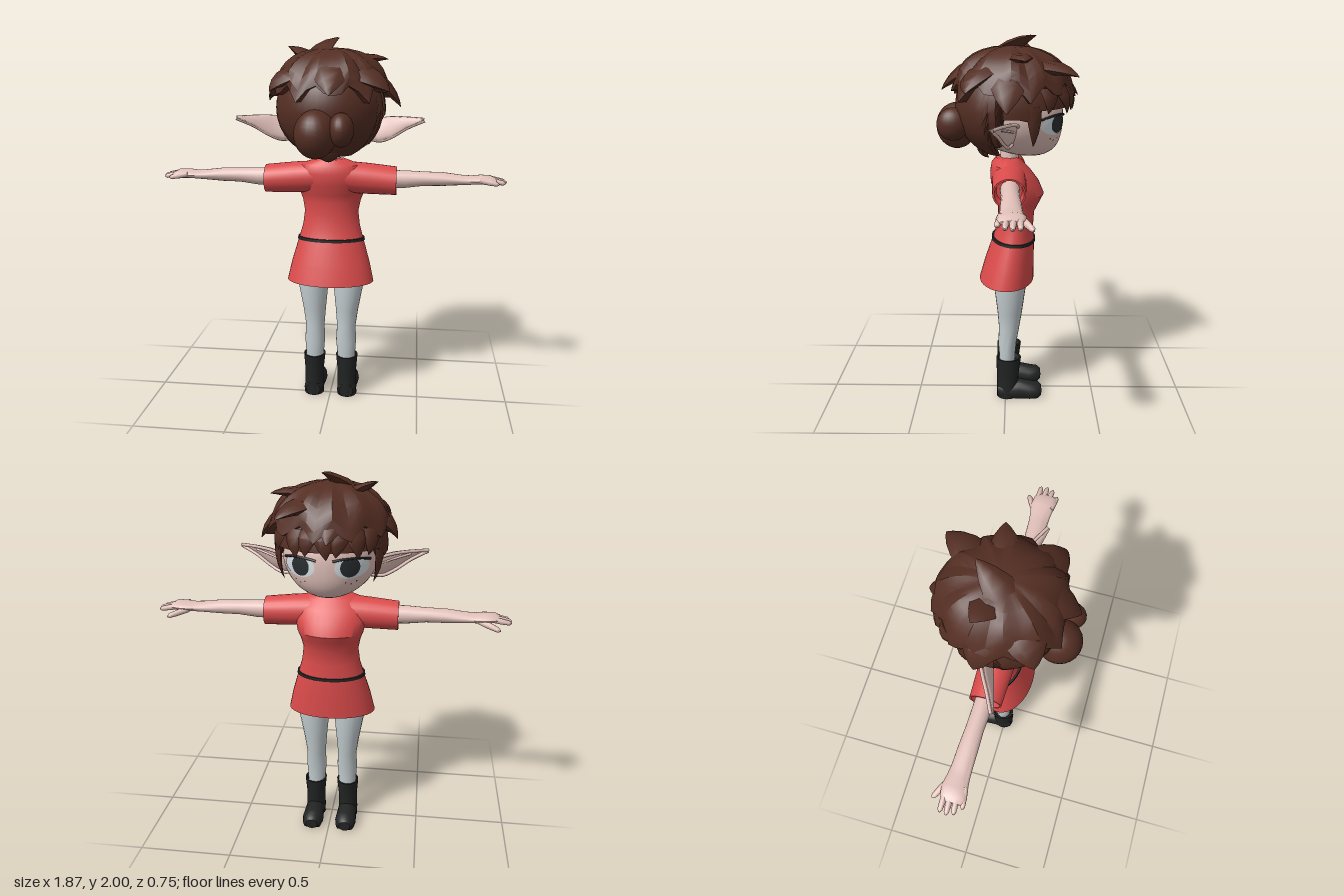
import * as THREE from 'three';
import { toCreasedNormals } from 'three/addons/utils/BufferGeometryUtils.js';

const V = (x, y, z) => new THREE.Vector3(x, y, z);
const paint = (name, color, side = THREE.FrontSide) => {
  const m = new THREE.MeshStandardMaterial({ color, side });
  m.name = name;
  return m;
};

// Surface through closed rings of points, with optional end caps
function skin(rings, capStart = true, capEnd = true, crease = 0.7) {
  const n = rings[0].length, pts = rings.flat(), index = [];
  for (let r = 0; r < rings.length - 1; r++) for (let i = 0; i < n; i++) {
    const a = r * n + i, b = r * n + (i + 1) % n;
    index.push(a, a + n, b, b, a + n, b + n);
  }
  const cap = (ring, base, flip) => {
    const c = ring.reduce((s, p) => s.add(p), V(0, 0, 0)).divideScalar(n);
    const k = pts.push(c) - 1;
    for (let i = 0; i < n; i++) {
      const a = base + i, b = base + (i + 1) % n;
      index.push(k, flip ? a : b, flip ? b : a);
    }
  };
  if (capStart) cap(rings[0], 0, true);
  if (capEnd) cap(rings.at(-1), (rings.length - 1) * n, false);
  const g = new THREE.BufferGeometry().setFromPoints(pts);
  g.setIndex(index);
  return toCreasedNormals(g, crease);
}

// Elliptical loft; station = [x, y, z, radius along S, radius across S], T = axis
function loft(stations, S, T, n = 20, floor = -1) {
  S = S.clone().normalize();
  const N = S.clone().cross(T).normalize();
  return skin(stations.map(([x, y, z, rs, rn]) => Array.from({ length: n }, (_, i) => {
    const t = i / n * Math.PI * 2;
    const p = V(x, y, z).addScaledVector(S, rs * Math.cos(t)).addScaledVector(N, rn * Math.sin(t));
    p.y = Math.max(floor, p.y);
    return p;
  })));
}

// Face surface: depth of the front at a given x, y
const HEAD = { y: 1.6, rx: 0.25, ry: 0.215, rz: 0.27 };
const headSlice = y => {
  const s = THREE.MathUtils.clamp((y - HEAD.y) / HEAD.ry, -1, 1);
  return { k: Math.sqrt(1 - s * s), zc: -0.03 - 0.1 * Math.max(0, -s) ** 2 };
};
const faceZ = (x, y) => {
  const { k, zc } = headSlice(y);
  return zc - HEAD.rz * Math.sqrt(Math.max(0, k * k - (x / HEAD.rx) ** 2));
};

// Thin disc hugging the face, cut flat along a lid height
function faceDisc(cx, cy, rx, ry, lid, lift, n = 24, m = 5) {
  const rings = [];
  for (let j = m; j >= 0; j--) rings.push(Array.from({ length: n }, (_, i) => {
    const t = i / n * Math.PI * 2, f = j / m + 0.001;
    const x = cx - rx * f * Math.cos(t), y = Math.min(lid, cy + ry * f * Math.sin(t));
    return V(x, y, faceZ(x, y) - lift);
  }));
  return skin(rings, false, false);
}

export function createModel() {
  const model = new THREE.Group();
  const D = THREE.DoubleSide;
  const hair = paint('brown hair', 0x542e23, D), skinTone = paint('skin', 0xe2c1ba);
  const red = paint('red dress', 0xdb4b4b), grey = paint('grey stockings', 0xc3cccf);
  const black = paint('black leather', 0x222323), white = paint('eye white', 0xdbe3e7, D);
  const dark = paint('dark iris', 0x2a2e31, D);
  const X = V(1, 0, 0), Y = V(0, 1, 0), Z = V(0, 0, 1);
  const add = (name, geo, mat, parent = model) => {
    const m = new THREE.Mesh(geo, mat);
    m.name = name;
    parent.add(m);
    return m;
  };

  // Dress with hollow skirt, belt
  add('dress', loft([
    [0, 0.86, -0.03, 0.18, 0.11], [0, 0.7, -0.005, 0.23, 0.142], [0, 0.695, -0.005, 0.24, 0.15],
    [0, 0.8, -0.02, 0.216, 0.135], [0, 0.93, -0.043, 0.178, 0.113], [0, 1.0, -0.052, 0.158, 0.098],
    [0, 1.08, -0.057, 0.148, 0.098], [0, 1.14, -0.072, 0.16, 0.113], [0, 1.18, -0.078, 0.175, 0.127],
    [0, 1.24, -0.05, 0.19, 0.13], [0, 1.3, -0.026, 0.19, 0.109], [0, 1.345, -0.008, 0.16, 0.083],
    [0, 1.375, -0.005, 0.08, 0.058]], X, Y, 32), red);
  const belt = add('belt', loft([[0, -0.008, 0, 0.181, 0.116], [0, -0.008, 0, 0.187, 0.12],
    [0, 0.008, 0, 0.185, 0.119], [0, 0.008, 0, 0.17, 0.11]], X, Y, 32), black);
  belt.position.set(0, 0.928, -0.043);
  belt.rotation.x = -0.05;

  // Neck and head
  add('neck', new THREE.CylinderGeometry(0.045, 0.052, 0.1, 20).translate(0, 1.385, -0.02), skinTone);
  const headRings = [];
  for (let j = 0; j <= 24; j++) {
    const y = HEAD.y - HEAD.ry * Math.cos((0.01 + 0.98 * j / 24) * Math.PI), { k, zc } = headSlice(y);
    headRings.push(Array.from({ length: 36 }, (_, i) => {
      const t = i / 36 * Math.PI * 2;
      return V(HEAD.rx * k * Math.cos(t), y, zc + HEAD.rz * k * Math.sin(t));
    }));
  }
  add('head', skin(headRings), skinTone);

  // Paired parts, built on +x and mirrored
  for (const side of [1, -1]) {
    const half = new THREE.Group();
    half.name = side > 0 ? 'leftHalf' : 'rightHalf';
    half.scale.x = side;
    model.add(half);

    // Sleeve, arm and hand
    add('sleeve', loft([[0.08, 1.275, -0.02, 0.085, 0.09], [0.2, 1.268, -0.022, 0.083, 0.088],
      [0.355, 1.258, -0.023, 0.076, 0.083], [0.355, 1.258, -0.023, 0.068, 0.074],
      [0.3, 1.262, -0.023, 0.06, 0.065]], Y, X, 24), red, half);
    add('arm', loft([[0.26, 1.265, -0.025, 0.05, 0.05], [0.4, 1.267, -0.028, 0.047, 0.048],
      [0.5, 1.271, -0.032, 0.038, 0.046], [0.6, 1.271, -0.034, 0.036, 0.05], [0.7, 1.268, -0.036, 0.026, 0.052],
      [0.75, 1.268, -0.038, 0.023, 0.056], [0.8, 1.272, -0.04, 0.024, 0.064],
      [0.85, 1.274, -0.035, 0.02, 0.062], [0.875, 1.27, -0.033, 0.01, 0.045]], Y, X), skinTone, half);
    const digit = (name, a, b, r) => {
      const at = f => V(...a).lerp(V(...b), f).toArray();
      add(name, loft([[0, r], [0.5, r], [0.88, r * 0.8], [1, r * 0.25]].map(([f, w]) => [...at(f), w, w]),
        Y, V(...b).sub(V(...a)), 10), skinTone, half);
    };
    digit('thumb', [0.77, 1.262, -0.075], [0.872, 1.235, -0.135], 0.017);
    [[0.93, -0.078], [0.935, -0.044], [0.925, -0.01], [0.89, 0.023]].forEach(([x, z], i) =>
      digit('finger', [x - 0.1, 1.274, -0.075 + i * 0.028], [x, 1.258, z], 0.0155));

    // Leg and boot
    add('leg', loft([[0.09, 0.2, -0.01, 0.048, 0.042], [0.09, 0.25, -0.01, 0.051, 0.044],
      [0.089, 0.33, -0.01, 0.057, 0.051], [0.089, 0.42, -0.02, 0.053, 0.056], [0.092, 0.52, -0.024, 0.064, 0.068],
      [0.1, 0.7, -0.025, 0.089, 0.09], [0.1, 0.85, -0.03, 0.08, 0.08]], X, Y), grey, half);
    add('bootShaft', loft([[0.095, 0, -0.01, 0.056, 0.06], [0.095, 0.08, -0.012, 0.054, 0.06],
      [0.094, 0.14, -0.013, 0.053, 0.062], [0.093, 0.24, -0.018, 0.062, 0.07],
      [0.093, 0.24, -0.018, 0.054, 0.062], [0.093, 0.215, -0.015, 0.05, 0.05]], X, Y), black, half);
    add('bootFoot', loft([[0.095, 0.035, 0.045, 0.04, 0.04], [0.095, 0.035, 0.02, 0.054, 0.06],
      [0.095, 0.035, -0.08, 0.055, 0.065], [0.095, 0.03, -0.14, 0.06, 0.055], [0.095, 0.03, -0.185, 0.052, 0.05],
      [0.095, 0.033, -0.205, 0.032, 0.028]], X, V(0, 0, -1), 20, 0), black, half);

    // Pointed ear with raised rim and inner fold
    const ear = [[0.2, 1.52, -0.04, 0.045, 0.02], [0.26, 1.53, -0.03, 0.064, 0.016],
      [0.32, 1.548, -0.005, 0.056, 0.012], [0.4, 1.575, 0.03, 0.028, 0.009], [0.488, 1.595, 0.066, 0.003, 0.003]];
    const S = V(0, 0.93, -0.36), T = V(0.93, 0.24, 0.34);
    const N = S.clone().cross(T).normalize();
    add('ear', loft(ear, S, T, 16), skinTone, half);
    for (const [edge, r] of [[0.92, 0.009], [-0.92, 0.009], [0.35, 0.006]]) {
      const path = new THREE.CatmullRomCurve3(ear.slice(edge === 0.35 ? 1 : 0, edge === 0.35 ? 4 : 5).map(
        ([x, y, z, h]) => V(x, y, z).addScaledVector(S, h * edge).addScaledVector(N, 0.012)));
      add('earRim', new THREE.TubeGeometry(path, 16, r, 6), skinTone, half);
    }

    // Eye, lid line and freckles
    add('eyeWhite', faceDisc(0.128, 1.57, 0.08, 0.055, 1.61, 0.003), white, half);
    add('iris', faceDisc(0.122, 1.572, 0.046, 0.049, 1.61, 0.006), dark, half);
    const lid = [0.04, 0.08, 0.125, 0.17, 0.212].map((x, i) => {
      const y = [1.606, 1.613, 1.615, 1.612, 1.598][i];
      return V(x, y, faceZ(x, y) - 0.004);
    });
    add('eyelidLine', new THREE.TubeGeometry(new THREE.CatmullRomCurve3(lid), 16, 0.006, 6), black, half);
    for (const [x, y] of [[0.1, 1.495], [0.125, 1.485], [0.15, 1.497]])
      add('freckle', faceDisc(x, y, 0.004, 0.004, 2, 0.002, 6, 1), hair, half);
  }

  // Close hair mass: short over the face and ears, long at the nape
  const hairline = deg => deg < 60 ? 1.65 : deg < 78 ? 1.6 : deg < 102 ? 1.61 : deg < 118 ? 1.46 : 1.4;
  const mass = [];
  for (let j = -1; j <= 12; j++) mass.push(Array.from({ length: 48 }, (_, i) => {
    const t = i / 48 * Math.PI * 2, deg = Math.acos(-Math.sin(t)) * 180 / Math.PI;
    const phi = Math.acos((hairline(deg) - 1.64) / 0.27) * (1 - Math.max(0, j) / 12.2);
    const r = Math.sin(phi) * (j < 0 ? 0.86 : 1);
    return V(0.29 * r * Math.cos(t), 1.64 + 0.27 * Math.cos(phi), -0.03 + 0.295 * r * Math.sin(t));
  }));
  add('hairMass', skin(mass, false, true, 0.5), hair);

  // Upper layer with a jagged, flared edge
  const crown = [];
  for (let j = -1; j <= 7; j++) crown.push(Array.from({ length: 44 }, (_, i) => {
    const t = i / 44 * Math.PI * 2, f = 1 - Math.max(0, j) / 7.2;
    const tooth = [0, 0.45, 1, 0.5][i % 4] * (0.75 + 0.25 * Math.sin(i * 2.3));
    const yE = 1.77 - 0.085 * tooth;
    const r = (j < 0 ? 0.85 : 1) * Math.sin(f * Math.PI / 2) ** 0.85 *
      (1 + 0.13 * tooth * f ** 4 + 0.025 * Math.sin(5 * t + 4 * f));
    return V(0.293 * r * Math.cos(t), yE + (1.95 - yE) * Math.cos(f * Math.PI / 2), -0.03 + 0.3 * r * Math.sin(t));
  }));
  add('hairCrown', skin(crown, false, true, 0.35), hair);

  // Tapered, bent locks from a root to a tip
  const lock = (name, root, tip, w) => {
    const a = V(...root), c = V(...tip), out = a.clone().lerp(c, 0.5).sub(V(0, 1.64, -0.03)).normalize();
    const b = a.clone().lerp(c, 0.55).addScaledVector(out, 0.03);
    const curve = new THREE.QuadraticBezierCurve3(a, b, c), T = c.clone().sub(a).normalize();
    add(name, loft([0, 0.3, 0.6, 0.85, 1].map(u => {
      const k = w * (1 - 0.97 * u ** 1.5);
      return [...curve.getPoint(u).toArray(), k, k * 0.4];
    }), T.clone().cross(out), T, 6), hair);
  };
  [[[-0.08, 1.9, 0.02], [0.03, 2.0, -0.155], 0.09], [[-0.08, 1.87, -0.05], [-0.235, 1.955, -0.1], 0.09],
    [[0.1, 1.88, -0.05], [0.295, 1.89, -0.1], 0.09], [[0.23, 1.8, -0.02], [0.368, 1.65, -0.01], 0.1],
    [[-0.23, 1.8, -0.05], [-0.338, 1.675, -0.07], 0.1], [[-0.18, 1.82, 0.12], [-0.285, 1.74, 0.195], 0.1],
    [[0.18, 1.82, 0.12], [0.315, 1.74, 0.19], 0.1], [[0.02, 1.85, 0.16], [0.03, 1.73, 0.33], 0.11],
    [[0.12, 1.85, -0.2], [0.22, 1.81, -0.36], 0.09], [[-0.04, 1.84, -0.2], [-0.02, 1.7, -0.375], 0.1],
    [[0, 1.46, 0.13], [0, 1.37, 0.09], 0.08]].forEach(([a, b, w]) => lock('hairSpike', a, b, w));

  // Fringe and side locks
  const fringeZ = x => -0.03 - 0.31 * Math.sqrt(Math.max(0, 1 - (x / 0.29) ** 2));
  for (let i = -3; i <= 3; i++) {
    const x = i * 0.07, tx = x * 1.06 + (i % 2 ? 0.015 : -0.015);
    lock('fringe', [x, 1.75, fringeZ(x) + 0.03], [tx, 1.622 + (i % 2 ? 0.012 : 0), fringeZ(tx) - 0.005], 0.06);
  }
  for (const s of [1, -1]) lock('sideLock', [s * 0.25, 1.67, -0.14], [s * 0.225, 1.47, -0.14], 0.045);

  // Bun made of two lobes
  const bun = (x, y, z, ...r) => add('hairBun', new THREE.SphereGeometry(1, 24, 16).scale(...r).translate(x, y, z), hair);
  bun(-0.045, 1.535, 0.26, 0.108, 0.122, 0.11);
  bun(0.085, 1.56, 0.27, 0.064, 0.085, 0.085);

  return model;
}
